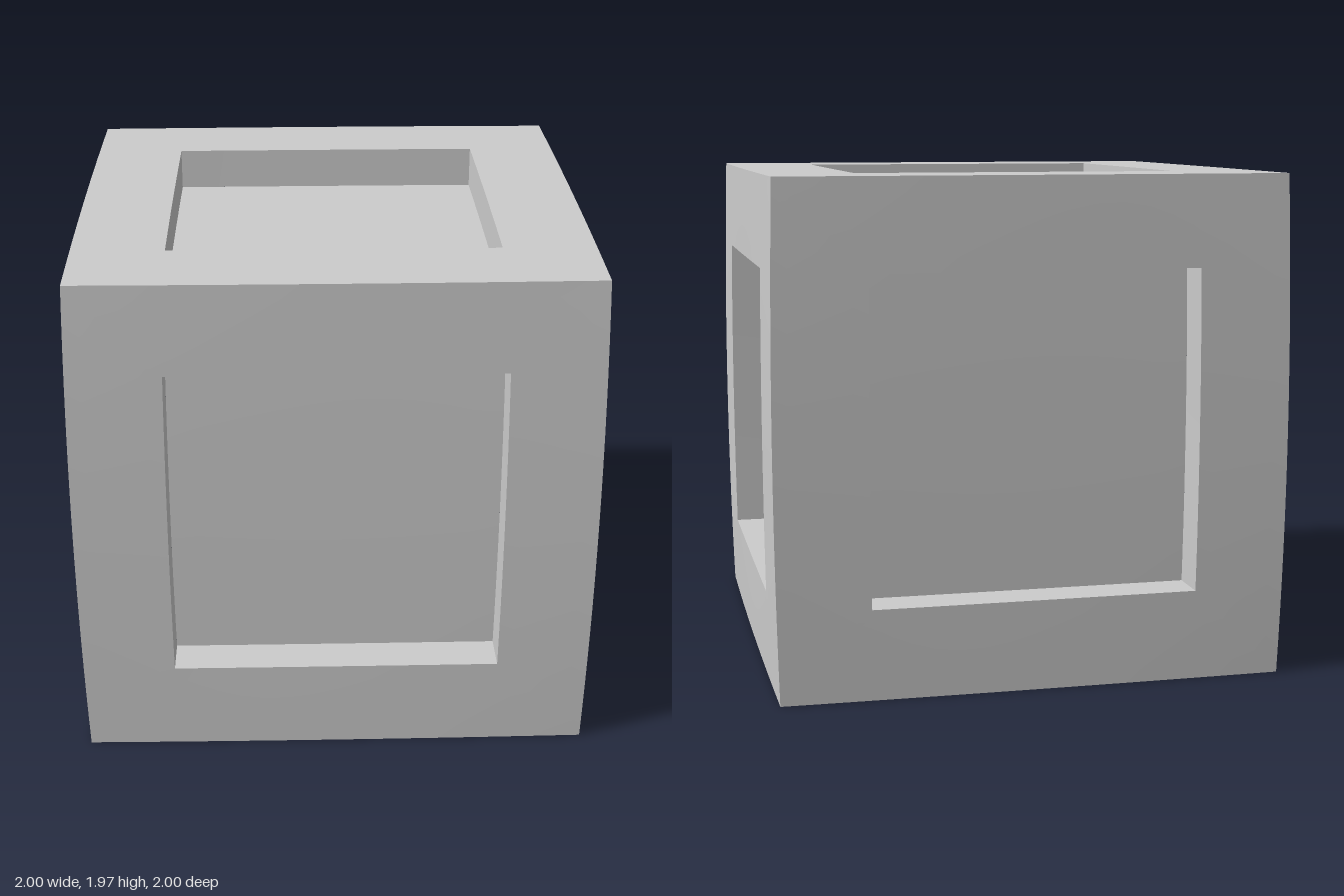
import * as THREE from 'three';
import { mergeGeometries, toCreasedNormals } from 'three/addons/utils/BufferGeometryUtils.js';

const HALF_HEIGHT = 0.9825;
const CORNER = 0.984;   // half width at the eight corners
const HOLE = 0.64;      // recess half size, as a share of the face
const DEPTH = 0.165;    // recess depth
const material = new THREE.MeshStandardMaterial({ color: 0xcccccc });

const rimBulge = (t) => 0.007 * (1 - t * t);
const sideBulge = (t) => 0.016 * (1 - t * t);

// Bulging upright face: (u, v) in -1..1, facing +z
const sideSurface = (u, v, depth) => [
  u * (CORNER + sideBulge(v)),
  v * HALF_HEIGHT,
  CORNER + sideBulge(v) + rimBulge(u) * v * v - depth,
];

// Flat cap whose rim bows outwards, facing +z
const capSurface = (u, v, depth) => [
  u * (CORNER + rimBulge(v)),
  v * (CORNER + rimBulge(u)),
  HALF_HEIGHT - depth,
];

// Patch bent by a rule that maps (s, t) in -1..1, 0..1 to (u, v, depth)
function patch(surface, rule, turns = 0, sSteps = 16, tSteps = 6) {
  const geometry = new THREE.PlaneGeometry(2, 1, sSteps, tSteps);
  const position = geometry.attributes.position;
  for (let i = 0; i < position.count; i++) {
    let [u, v, depth] = rule(position.getX(i), position.getY(i) + 0.5);
    for (let k = 0; k < turns; k++) [u, v] = [-v, u];
    position.setXYZ(i, ...surface(u, v, depth));
  }
  return geometry;
}

function createFace(name, surface) {
  const face = new THREE.Group();
  face.name = name;
  const add = (part, patches) => {
    const mesh = new THREE.Mesh(toCreasedNormals(mergeGeometries(patches), 0.5), material);
    mesh.name = part;
    face.add(mesh);
  };
  const turns = [0, 1, 2, 3];

  // Mitred border around the opening
  add('frame', turns.map((k) => patch(surface, (s, t) => {
    const v = -1 + t * (1 - HOLE);
    return [-s * v, v, 0];
  }, k)));

  // Inner walls and sunken panel
  add('recessWalls', turns.map((k) =>
    patch(surface, (s, t) => [s * HOLE, -HOLE, t * DEPTH], k, 16, 1)));
  add('recessPanel', [
    patch(surface, (s, t) => [s * HOLE, (2 * t - 1) * HOLE, DEPTH], 0, 12, 12),
  ]);
  return face;
}

export function createModel() {
  const model = new THREE.Group();
  model.name = 'panelledCube';

  // Four upright faces
  ['frontFace', 'leftFace', 'backFace', 'rightFace'].forEach((name, i) => {
    const face = createFace(name, sideSurface);
    face.rotation.y = i * Math.PI / 2;
    model.add(face);
  });

  // Top and bottom faces
  [['topFace', -1], ['bottomFace', 1]].forEach(([name, sign]) => {
    const face = createFace(name, capSurface);
    face.rotation.x = sign * Math.PI / 2;
    model.add(face);
  });

  model.children.forEach((face) => { face.position.y = HALF_HEIGHT; });
  return model;
}
